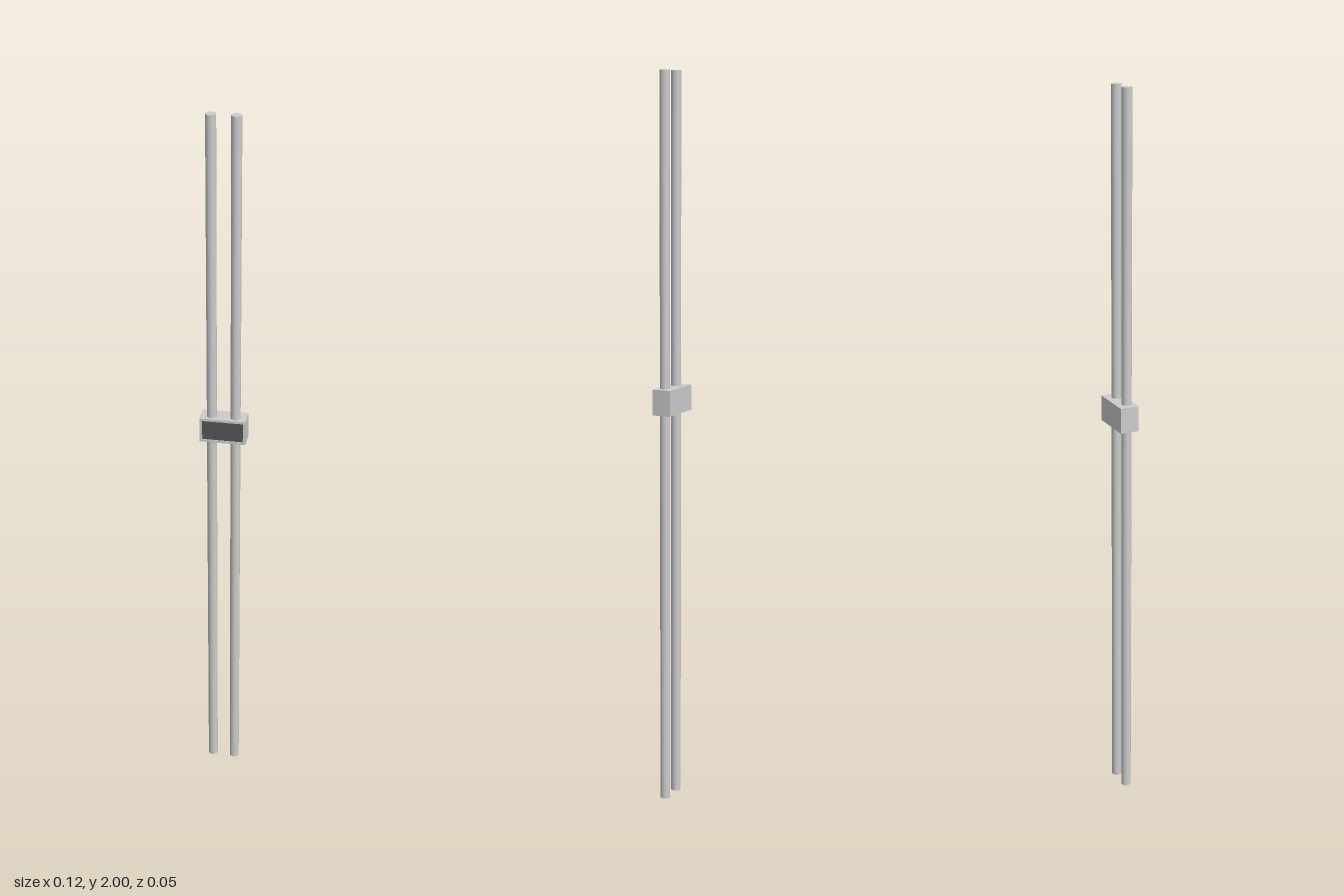
import * as THREE from 'three';

export function createModel() {
  const model = new THREE.Group();
  const grey = new THREE.MeshStandardMaterial({ color: 0xcccccc });
  const dark = new THREE.MeshStandardMaterial({ color: 0x555555 });

  const add = (name, geometry, material, x, y, z) => {
    const mesh = new THREE.Mesh(geometry, material);
    mesh.name = name;
    mesh.position.set(x, y, z);
    model.add(mesh);
  };

  // Two full-height parallel rods
  const rod = new THREE.CylinderGeometry(0.0135, 0.0135, 2, 32);
  add('leftRod', rod, grey, 0.032, 1, 0.004);
  add('rightRod', rod, grey, -0.032, 1, 0.004);

  // Clamp block around both rods
  const width = 0.124, height = 0.07, back = -0.027, front = 0.025;
  const centreY = 1.131, rim = 0.007, recess = 0.003;
  const bodyDepth = front - recess - back;
  add('clampBlock', new THREE.BoxGeometry(width, height, bodyDepth), grey,
    0, centreY, back + bodyDepth / 2);

  // Raised rim around the front face
  const rectangle = (Type, w, h) => new Type().moveTo(-w / 2, -h / 2)
    .lineTo(w / 2, -h / 2).lineTo(w / 2, h / 2).lineTo(-w / 2, h / 2).closePath();
  const frame = rectangle(THREE.Shape, width, height);
  frame.holes.push(rectangle(THREE.Path, width - 2 * rim, height - 2 * rim));
  add('frontRim', new THREE.ExtrudeGeometry(frame, { depth: recess, bevelEnabled: false }),
    grey, 0, centreY, front - recess);

  // Dark plate set inside the rim
  add('frontPlate', new THREE.BoxGeometry(width - 2 * rim, height - 2 * rim, 0.002),
    dark, 0, centreY, front - recess);

  return model;
}
